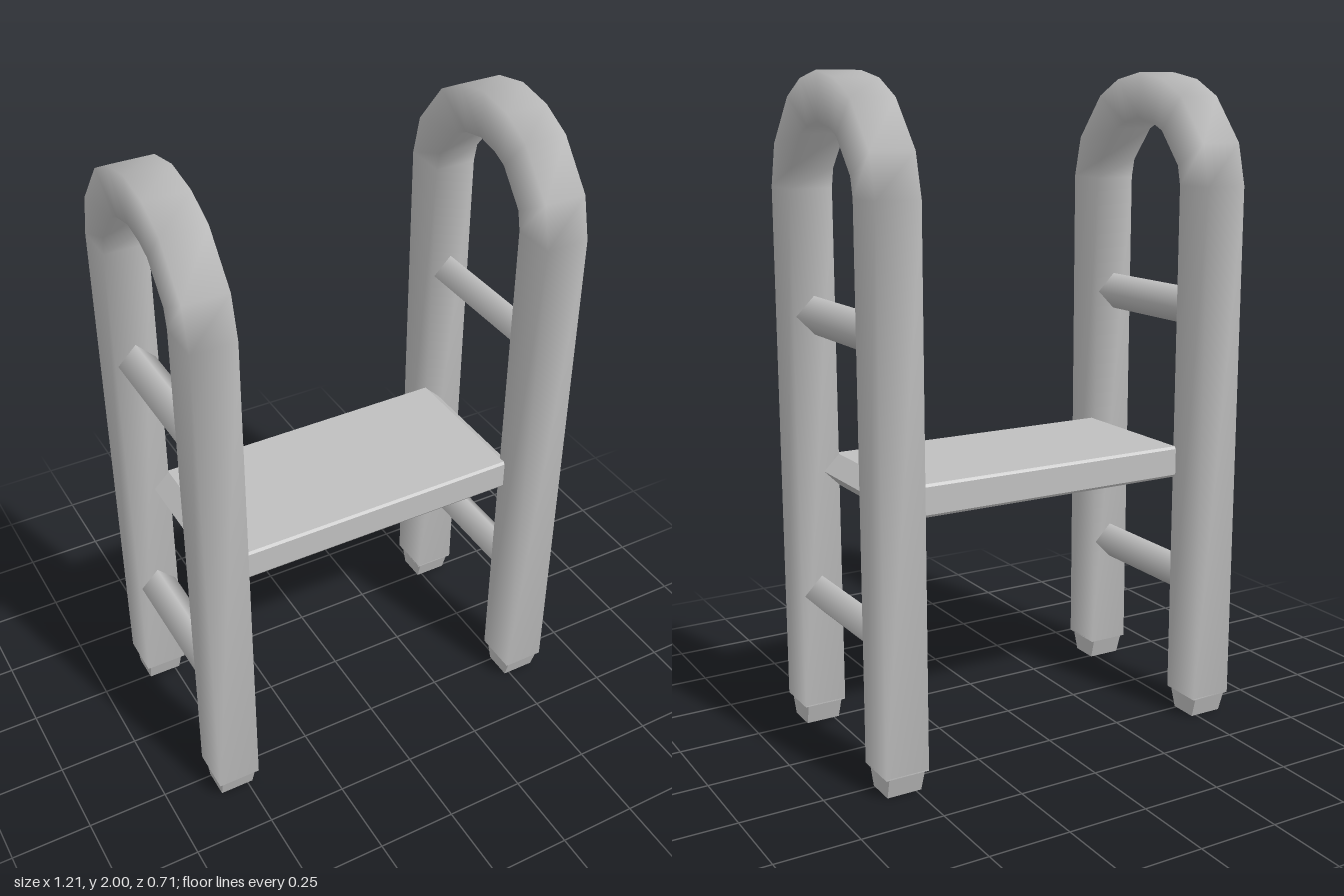
import * as THREE from 'three';

const metal = new THREE.MeshStandardMaterial({ color: 0xc0c0c0 });
metal.name = 'plain grey';

const LEG_X = 0.537, LEG_Z = 0.287;

// Square bar swept along a path of [z, y] points, smooth along its corners
function sweepBar(path, halfX, halfD) {
  const pos = [], idx = [];
  path.forEach(([z, y], i) => {
    const a = path[Math.max(i - 1, 0)], b = path[Math.min(i + 1, path.length - 1)];
    const t = new THREE.Vector2(b[0] - a[0], b[1] - a[1]).normalize();
    const nz = t.y * halfD, ny = -t.x * halfD; // outward side of the arch
    pos.push(-halfX, y + ny, z + nz, halfX, y + ny, z + nz,
      halfX, y - ny, z - nz, -halfX, y - ny, z - nz);
  });
  for (let i = 0; i < path.length - 1; i++) {
    for (let k = 0; k < 4; k++) {
      const a = i * 4 + k, b = i * 4 + (k + 1) % 4;
      idx.push(a, b, b + 4, a, b + 4, a + 4);
    }
  }
  const geo = new THREE.BufferGeometry();
  geo.setAttribute('position', new THREE.Float32BufferAttribute(pos, 3));
  geo.setIndex(idx);
  geo.computeVertexNormals();
  return geo;
}

function add(parent, name, geo, x = 0, y = 0, z = 0) {
  const mesh = new THREE.Mesh(geo, metal);
  mesh.name = name;
  mesh.position.set(x, y, z);
  parent.add(mesh);
  return mesh;
}

// Foot: short block narrowing towards the floor
function footGeometry() {
  const geo = new THREE.BoxGeometry(0.112, 0.07, 0.132);
  const p = geo.attributes.position;
  for (let i = 0; i < p.count; i++) {
    if (p.getY(i) < 0) {
      p.setX(i, p.getX(i) * 0.95);
      p.setZ(i, p.getZ(i) * 0.68);
    }
  }
  geo.computeVertexNormals();
  return geo;
}

// Platform: bevelled slab whose ends come to a ridge inside the rails
function platformGeometry() {
  const section = [[0.232, 0.049], [0.238, 0.041], [0.238, -0.041], [0.232, -0.049],
    [-0.232, -0.049], [-0.238, -0.041], [-0.238, 0.041], [-0.232, 0.049]];
  const pos = [], idx = [], n = section.length;
  for (const s of [-1, 1]) {
    for (const [z, y] of section) pos.push(0.47 * s, y, z);
    pos.push(0.52 * s, 0, 0.238, 0.52 * s, 0, -0.238); // end ridge
  }
  const R = n + 2;
  for (let k = 0; k < n; k++) {
    const a = k, b = (k + 1) % n;
    idx.push(a, b, b + R, a, b + R, a + R);
  }
  // Each end: upper slope, lower slope and two small sides
  const end = [0, 7, 9, 0, 9, 8, 7, 6, 9, 1, 0, 8, 3, 8, 9, 3, 9, 4, 2, 8, 3, 4, 9, 5,
    1, 8, 2, 5, 9, 6];
  for (let i = 0; i < end.length; i += 3) {
    const [a, b, c] = end.slice(i, i + 3);
    idx.push(a, b, c, a + R, c + R, b + R);
  }
  const geo = new THREE.BufferGeometry();
  geo.setAttribute('position', new THREE.Float32BufferAttribute(pos, 3));
  geo.setIndex(idx);
  const flat = geo.toNonIndexed();
  flat.computeVertexNormals();
  return flat;
}

export function createModel() {
  const model = new THREE.Group();
  model.name = 'climbingFrame';

  // Right half of the arch path, mirrored for the other half
  const half = [[-LEG_Z, 0.065], [-LEG_Z, 1.67], [-0.265, 1.762], [-0.167, 1.88], [-0.095, 1.916]];
  const path = [...half, [0, 1.934], ...half.map(([z, y]) => [-z, y]).reverse()].reverse();
  const rail = sweepBar(path, 0.0665, 0.069);
  const cap = new THREE.BoxGeometry(0.133, 0.004, 0.138);
  const foot = footGeometry();
  // Four-sided rung with a corner pointing up
  const rung = new THREE.CylinderGeometry(0.058, 0.058, 0.46, 4).rotateX(Math.PI / 2);

  for (const [side, s] of [['left', 1], ['right', -1]]) {
    const ladder = new THREE.Group();
    ladder.name = side + 'Ladder';
    ladder.position.x = s * LEG_X;
    add(ladder, 'archedRail', rail);
    for (const z of [LEG_Z, -LEG_Z]) {
      add(ladder, 'legEnd', cap, 0, 0.067, z);
      add(ladder, 'foot', foot, 0, 0.035, z);
    }
    add(ladder, 'lowerRung', rung, 0, 0.429, 0);
    add(ladder, 'upperRung', rung, 0, 1.297, 0);
    model.add(ladder);
  }

  add(model, 'platform', platformGeometry(), 0, 0.816, 0.007);
  return model;
}
